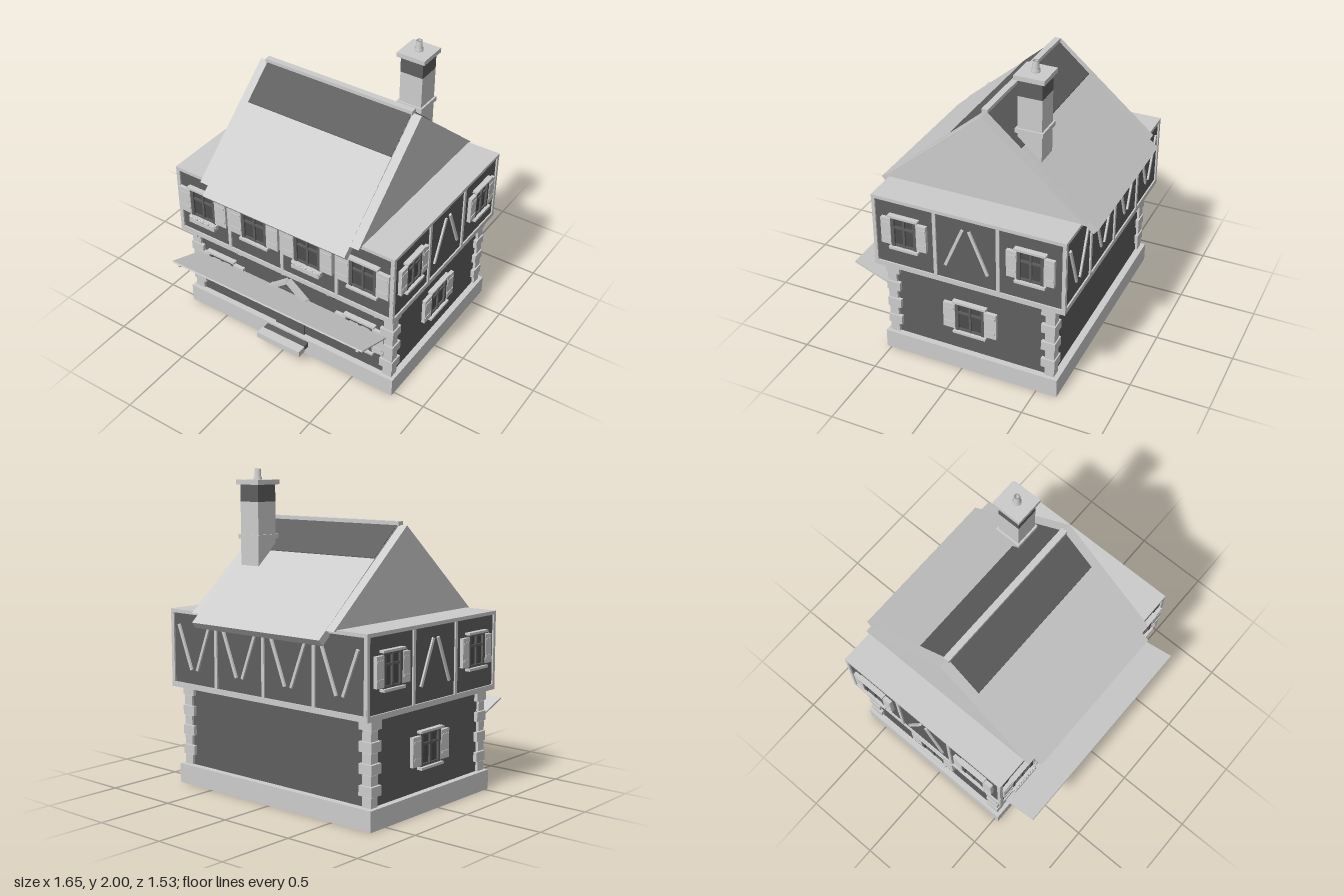
import * as THREE from 'three';

export function createModel() {
  const house = new THREE.Group();
  house.name = 'house';
  const mat = (name, color) => {
    const m = new THREE.MeshStandardMaterial({ color });
    m.name = name;
    return m;
  };
  const light = mat('paleStone', 0xcccccc);
  const dark = mat('darkWall', 0x5f5f5f);
  const glass = mat('windowDark', 0x4c4c4c);

  const add = (name, geo, material, parent = house) => {
    const m = new THREE.Mesh(geo, material);
    m.name = name;
    parent.add(m);
    return m;
  };
  // Box given by its low and high limits on each axis
  const box = (name, material, [x0, x1], [y0, y1], [z0, z1], parent = house) => {
    const m = add(name, new THREE.BoxGeometry(x1 - x0, y1 - y0, z1 - z0), material, parent);
    m.position.set((x0 + x1) / 2, (y0 + y1) / 2, (z0 + z1) / 2);
    return m;
  };
  // Straight bar between two points in a wall's local xy plane
  const bar = (name, material, ax, ay, bx, by, w, z0, z1, parent) => {
    const len = Math.hypot(bx - ax, by - ay);
    const m = add(name, new THREE.BoxGeometry(len, w, z1 - z0), material, parent);
    m.position.set((ax + bx) / 2, (ay + by) / 2, (z0 + z1) / 2);
    m.rotation.z = Math.atan2(by - ay, bx - ax);
  };
  // Profile in (z, y), extruded symmetrically along x
  const prism = (name, material, points, halfWidth) => {
    const shape = new THREE.Shape(points.map(p => new THREE.Vector2(p[0], p[1])));
    const geo = new THREE.ExtrudeGeometry(shape, { depth: halfWidth * 2, bevelEnabled: false });
    geo.rotateY(-Math.PI / 2).translate(halfWidth, 0, 0);
    return add(name, geo, material);
  };
  // Group whose local +z looks out of a wall
  const wallFrame = (name, x, z, angle) => {
    const g = new THREE.Group();
    g.name = name;
    g.position.set(x, 0, z);
    g.rotation.y = angle;
    house.add(g);
    return g;
  };
  const ZC = -0.05;

  // Plinth and storeys
  box('plinth', light, [-0.79, 0.79], [0, 0.125], [-0.635, 0.53]);
  box('lowerWalls', dark, [-0.75, 0.75], [0.125, 0.64], [-0.59, 0.49]);
  box('upperWalls', dark, [-0.79, 0.79], [0.67, 1.11], [-0.67, 0.56]);
  box('jettyBeam', light, [-0.8, 0.8], [0.637, 0.67], [-0.68, 0.57]);
  box('wallPlate', light, [-0.8, 0.8], [1.11, 1.132], [-0.68, 0.57]);

  // Corner stones, alternating long and short
  for (const sx of [-1, 1]) for (const sz of [-1, 1]) for (let i = 0; i < 8; i++) {
    const long = i % 2 === 1;
    const y = 0.127 + i * 0.064;
    const w = long ? 0.095 : 0.065, d = long ? 0.09 : 0.06;
    const out = long ? 0.775 : 0.768, zo = 0.56 + (long ? 0.002 : -0.004);
    const q = box('cornerStone', light, [-w / 2, w / 2], [y, y + 0.06], [-d / 2, d / 2]);
    q.position.x = sx * (out - w / 2);
    q.position.z = ZC + sz * (zo - d / 2);
  }

  // Window with sill, header, panes and shutters
  const windowUnit = (wall, x, y, w, sw) => {
    const g = new THREE.Group();
    g.name = 'window';
    g.position.set(x, y, 0);
    wall.add(g);
    const h = 0.205, hw = w / 2;
    box('pane', glass, [-hw, hw], [0, h], [0, 0.006], g);
    for (const s of [-1, 1]) {
      box('jamb', dark, [s * (hw - 0.011) - 0.011, s * (hw - 0.011) + 0.011], [0, h], [0, 0.02], g);
      const c = s * (hw + sw / 2);
      box('shutter', light, [c - sw / 2, c + sw / 2], [0.01, h - 0.015], [0, 0.024], g);
      for (const yy of [0.045, 0.15])
        box('shutterBatten', light, [c - sw / 2 + 0.006, c + sw / 2 - 0.006], [yy, yy + 0.014], [0.024, 0.028], g);
    }
    box('mullion', dark, [-0.007, 0.007], [0, h], [0, 0.018], g);
    for (const yy of [0, 0.125, h - 0.016])
      box('glazingBar', dark, [-hw, hw], [yy, yy + 0.014], [0, 0.016], g);
    box('header', light, [-hw - 0.015, hw + 0.015], [h, h + 0.014], [0, 0.034], g);
    box('sill', light, [-hw - 0.012, hw + 0.012], [-0.016, 0], [0, 0.036], g);
    return g;
  };

  // Upper front wall
  const front = wallFrame('upperFront', 0, 0.56, 0);
  [-0.595, -0.198, 0.197, 0.592].forEach((x, i) => {
    const g = windowUnit(front, x, 0.808, 0.19, 0.086);
    if (i % 2) return;
    // planter
    box('planter', light, [-0.1, 0.1], [-0.042, -0.016], [0, 0.045], g);
    for (let k = 0; k < 9; k++) {
      const f = add('plant', new THREE.IcosahedronGeometry(0.012, 0), light, g);
      f.position.set(-0.088 + k * 0.022, -0.008 - (k % 2) * 0.006, 0.035);
    }
  });

  // Upper back wall with V braces
  const back = wallFrame('upperBack', 0, -0.67, Math.PI);
  for (const x of [-0.595, -0.2, 0.2, 0.595]) for (const s of [-1, 1])
    bar('brace', light, x + s * 0.025, 0.76, x + s * 0.135, 1.04, 0.018, 0, 0.012, back);

  for (const wall of [front, back]) for (const x of [-0.785, -0.4, 0, 0.4, 0.785])
    box('post', light, [x - 0.011, x + 0.011], [0.67, 1.11], [-0.005, 0.01], wall);

  // Side walls, upper and lower
  for (const s of [-1, 1]) {
    const side = wallFrame('upperSide', s * 0.79, 0, s * Math.PI / 2);
    const lx = z => -s * z;
    for (const z of [0.355, -0.465]) windowUnit(side, lx(z), 0.81, 0.17, 0.066);
    for (const z of [0.558, 0.155, -0.255, -0.668])
      box('post', light, [lx(z) - 0.011, lx(z) + 0.011], [0.67, 1.11], [-0.005, 0.01], side);
    for (const k of [-1, 1])
      bar('brace', light, lx(ZC + k * 0.022), 1.04, lx(ZC + k * 0.138), 0.765, 0.018, 0, 0.012, side);
    const low = wallFrame('lowerSide', s * 0.75, 0, s * Math.PI / 2);
    windowUnit(low, lx(ZC), 0.275, 0.195, 0.08);
  }

  // Lower front: windows, door, small pediment, jetty brackets
  const lower = wallFrame('lowerFront', 0, 0.49, 0);
  for (const x of [-0.535, 0.53]) windowUnit(lower, x, 0.27, 0.195, 0.08);
  box('door', dark, [-0.115, 0.11], [0.125, 0.45], [0, 0.012], lower);
  box('doorHandle', light, [-0.088, -0.052], [0.265, 0.28], [0.012, 0.03], lower);
  for (const s of [-1, 1]) {
    bar('pediment', light, 0, 0.54, s * 0.125, 0.44, 0.025, 0, 0.04, lower);
    bar('pedimentEnd', light, s * 0.125, 0.445, s * 0.155, 0.388, 0.03, 0, 0.04, lower);
  }
  for (const x of [-0.68, -0.34, 0, 0.335, 0.675]) {
    const arc = new THREE.QuadraticBezierCurve3(
      new THREE.Vector3(x, 0.55, 0.005), new THREE.Vector3(x, 0.6, 0.015), new THREE.Vector3(x, 0.632, 0.075));
    add('jettyBracket', new THREE.TubeGeometry(arc, 6, 0.008, 6, false), dark, lower);
    box('bracketCap', light, [x - 0.01, x + 0.01], [0.62, 0.638], [0, 0.07], lower);
  }
  box('doorStep', light, [-0.165, 0.165], [0.07, 0.112], [0.578, 0.64]);
  box('doorStepBack', dark, [-0.16, 0.16], [0.072, 0.11], [0.525, 0.578]);

  // Awning rising outward, with support rails below
  const tilt = -Math.atan2(0.105, 0.27);
  const awning = add('awning', new THREE.BoxGeometry(1.44, 0.011, 0.29), light);
  awning.position.set(0, 0.483, 0.634);
  awning.rotation.x = tilt;
  for (const x of [-0.68, 0.675]) {
    const rail = add('awningRail', new THREE.BoxGeometry(0.016, 0.01, 0.29), light);
    rail.position.set(x, 0.455, 0.624);
    rail.rotation.x = tilt;
  }

  // Roof: gable body, overhanging covering, dark upper bands, ridge
  prism('gableBody', light, [[-0.705, 1.125], [0.605, 1.125], [ZC, 1.68]], 0.578);
  const slopeY = d => 1.692 - 0.8648 * d;
  prism('roofCovering', light, [
    [ZC, 1.692], [ZC - 0.71, slopeY(0.71)], [ZC - 0.68, 1.042], [ZC, 1.62],
    [ZC + 0.68, 1.042], [ZC + 0.71, slopeY(0.71)]], 0.518);
  for (const s of [-1, 1]) {
    const p = [[0, 0], [0.225, 0], [0.225, 0.005], [0, 0.005]]
      .map(([d, up]) => [ZC + s * d, slopeY(d) + up]);
    prism('roofBand', dark, p, 0.517);
  }
  box('ridge', light, [-0.53, 0.525], [1.675, 1.702], [-0.07, -0.03]);

  // Chimney
  const stack = (name, m, r, y0, y1) =>
    box(name, m, [0.394 - r, 0.394 + r], [y0, y1], [-0.305 - r, -0.305 + r]);
  stack('chimneyStack', light, 0.076, 1.35, 1.8);
  stack('chimneyBand', light, 0.088, 1.57, 1.598);
  stack('chimneyTop', dark, 0.076, 1.8, 1.905);
  stack('chimneyCap', light, 0.095, 1.905, 1.934);
  const pot = add('chimneyPot', new THREE.LatheGeometry(
    [[0.027, 0], [0.027, 0.014], [0.021, 0.018], [0.019, 0.066], [0.012, 0.066], [0.012, 0.02], [0, 0.02]]
      .map(p => new THREE.Vector2(p[0], p[1])), 16), light);
  pot.position.set(0.394, 1.934, -0.305);

  return house;
}
